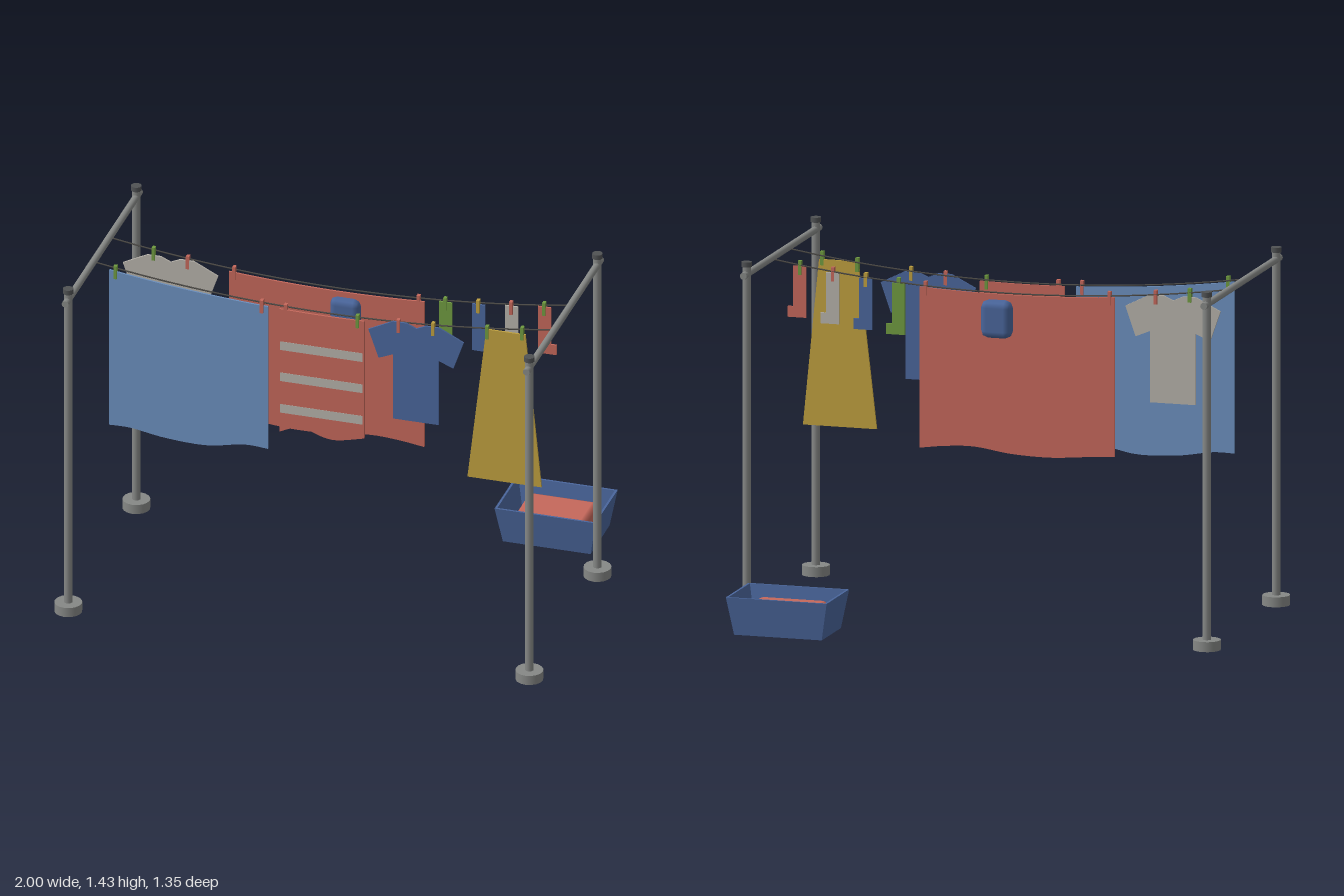
import * as THREE from 'three';
import { RoundedBoxGeometry } from 'three/addons/geometries/RoundedBoxGeometry.js';

const mat = (name, color, opts = {}) => {
  const m = new THREE.MeshStandardMaterial({ color, ...opts });
  m.name = name;
  return m;
};

const POST_X = 0.945, FRONT_Z = 0.274, BACK_Z = 0.063, CLOTH = 0.008;
const ropeY = x => 1.297 + 0.075 * (x / POST_X) ** 2;

export function createModel() {
  const model = new THREE.Group();
  model.name = 'clothesline';
  const M = {
    metal: mat('metal grey', 0x868886),
    cap: mat('dark cap', 0x505254),
    rope: mat('rope', 0x4c4a46),
    sky: mat('light blue cloth', 0x6c90bf),
    red: mat('red cloth', 0xc5685b),
    navy: mat('deep blue', 0x4a669c, { side: THREE.DoubleSide }),
    yellow: mat('mustard', 0xbfa03f),
    pale: mat('pale grey cloth', 0xb6b2aa),
    green: mat('green', 0x6f9a40),
  };
  const add = (name, geo, material, x = 0, y = 0, z = 0, parent = model) => {
    const mesh = new THREE.Mesh(geo, material);
    mesh.name = name;
    mesh.position.set(x, y, z);
    parent.add(mesh);
    return mesh;
  };

  // Frame: four posts with feet and caps, and a crossbar on each side
  for (const x of [-POST_X, POST_X]) {
    for (const z of [0.618, -0.277]) {
      add('foot', new THREE.CylinderGeometry(0.055, 0.055, 0.04, 16), M.metal, x, 0.02, z);
      add('post', new THREE.CylinderGeometry(0.017, 0.017, 1.38, 12), M.metal, x, 0.72, z);
      add('postCap', new THREE.CylinderGeometry(0.021, 0.021, 0.02, 12), M.cap, x, 1.42, z);
    }
    const bar = new THREE.CylinderGeometry(0.014, 0.014, 0.98, 12).rotateX(Math.PI / 2);
    add('crossbar', bar, M.metal, x, 1.38, 0.17);
  }

  // Sagging ropes
  for (const z of [FRONT_Z, BACK_Z]) {
    const pts = [];
    for (let i = 0; i <= 16; i++) {
      const x = POST_X * (i / 8 - 1);
      pts.push(new THREE.Vector3(x, ropeY(x), z));
    }
    add('rope', new THREE.TubeGeometry(new THREE.CatmullRomCurve3(pts), 32, 0.003, 6), M.rope);
  }

  // Thin cloth cut from an outline, centred on its own depth
  const cloth = (name, points, material, x, y, z) => {
    const shape = new THREE.Shape(points.map(p => new THREE.Vector2(p[0], p[1])));
    const geo = new THREE.ExtrudeGeometry(shape, { depth: CLOTH, bevelEnabled: false });
    return add(name, geo.translate(0, 0, -CLOTH / 2), material, x, y, z);
  };
  // Hanging sheet: the top follows the rope, the hem is a wavy curve
  const sheet = (name, hem, material, z) => {
    const curve = new THREE.SplineCurve(hem.map(p => new THREE.Vector2(...p)));
    const outline = curve.getPoints(24).map(p => [p.x, p.y]);
    const x0 = hem[0][0], x1 = hem[hem.length - 1][0];
    for (let i = 0; i <= 12; i++) {
      const x = x1 + (x0 - x1) * i / 12;
      outline.push([x, ropeY(x) - 0.008]);
    }
    cloth(name, outline, material, 0, 0, z);
  };
  const FZ = FRONT_Z + 0.01, BZ = BACK_Z + 0.01;
  sheet('blueSheet', [[-0.88, 0.667], [-0.79, 0.667], [-0.65, 0.645], [-0.48, 0.639],
    [-0.33, 0.667], [-0.23, 0.663]], M.sky, FZ);
  sheet('redSheet', [[-0.455, 0.668], [-0.33, 0.66], [-0.19, 0.649], [-0.03, 0.654],
    [0.12, 0.674], [0.24, 0.669], [0.345, 0.655]], M.red, BZ);
  sheet('towel', [[-0.183, 0.747], [-0.13, 0.77], [-0.07, 0.773], [0.0, 0.75],
    [0.06, 0.747], [0.165, 0.772]], M.red, FZ);

  // Towel stripes
  for (const y of [1.13, 0.992, 0.852]) {
    add('towelStripe', new THREE.BoxGeometry(0.338, 0.038, 0.0098), M.pale, -0.01, y, FZ);
  }

  // Shirts, mirrored from one half outline
  const half = [[0.04, 0], [0.095, 0], [0.195, -0.05], [0.153, -0.17], [0.093, -0.145], [0.093, -0.43]];
  const shirt = [...half, ...half.map(([x, y]) => [-x, y]).reverse(), [0, -0.018]];
  cloth('blueShirt', shirt, M.navy, 0.377, 1.31, FZ);
  cloth('paleShirt', shirt, M.pale, -0.695, 1.327, BZ);

  // Skirt
  cloth('skirt', [[-0.15, -0.665], [0.153, -0.665], [0.087, 0], [-0.073, 0]], M.yellow, 0.738, 1.336, FZ);

  // Socks
  const sock = [[-0.026, -0.205], [0.05, -0.205], [0.05, -0.162], [0.027, -0.162], [0.027, 0], [-0.026, 0]];
  [M.green, M.navy, M.pale, M.red].forEach((m, i) => {
    const x = 0.43 + 0.135 * i;
    cloth('sock', sock, m, x, ropeY(x) - 0.005, BZ - 0.006);
  });

  // Pegs
  const peg = (x, z, m) =>
    add('peg', new THREE.BoxGeometry(0.013, 0.056, 0.019), m, x, ropeY(x) - 0.011, z);
  const { green, red, yellow } = M;
  [[-0.855, green], [-0.255, red], [-0.157, red], [0.137, green], [0.305, red], [0.447, yellow],
    [0.668, green], [0.812, green]].forEach(([x, m]) => peg(x, FZ, m));
  [[-0.765, green], [-0.625, red], [-0.435, red], [0.32, red], [0.43, green], [0.565, yellow],
    [0.7, red], [0.835, green]].forEach(([x, m]) => peg(x, BZ - 0.003, m));

  // Peg bag hung on the back rope
  add('pegBag', new RoundedBoxGeometry(0.125, 0.15, 0.083, 1, 0.028), M.navy, 0.024, 1.192, 0.066);

  // Open laundry basket: tapered outer wall, rim, inner wall and floor
  const basket = new THREE.Group();
  basket.name = 'laundryBasket';
  basket.position.set(0.697, 0, -0.529);
  model.add(basket);
  const rings = [[0.18, 0.018, 0.124], [0.207, 0.17, 0.146], [0.198, 0.17, 0.137], [0.174, 0.03, 0.118]];
  const pos = [];
  const corner = ([w, y, d], k) => [[w, y, d], [w, y, -d], [-w, y, -d], [-w, y, d]][k % 4];
  const quad = (a, b, c, d) => pos.push(...a, ...b, ...c, ...a, ...c, ...d);
  for (let r = 0; r < 3; r++) {
    for (let k = 0; k < 4; k++) {
      quad(corner(rings[r], k), corner(rings[r], k + 1), corner(rings[r + 1], k + 1), corner(rings[r + 1], k));
    }
  }
  quad(...[3, 2, 1, 0].map(k => corner(rings[0], k)));
  quad(...[0, 1, 2, 3].map(k => corner(rings[3], k)));
  const tub = new THREE.BufferGeometry();
  tub.setAttribute('position', new THREE.Float32BufferAttribute(pos, 3));
  tub.computeVertexNormals();
  add('basketTub', tub, M.navy, 0, 0, 0, basket);
  add('foldedLaundry', new RoundedBoxGeometry(0.285, 0.1, 0.196, 1, 0.02), M.red, 0, 0.083, -0.004, basket);

  return model;
}
